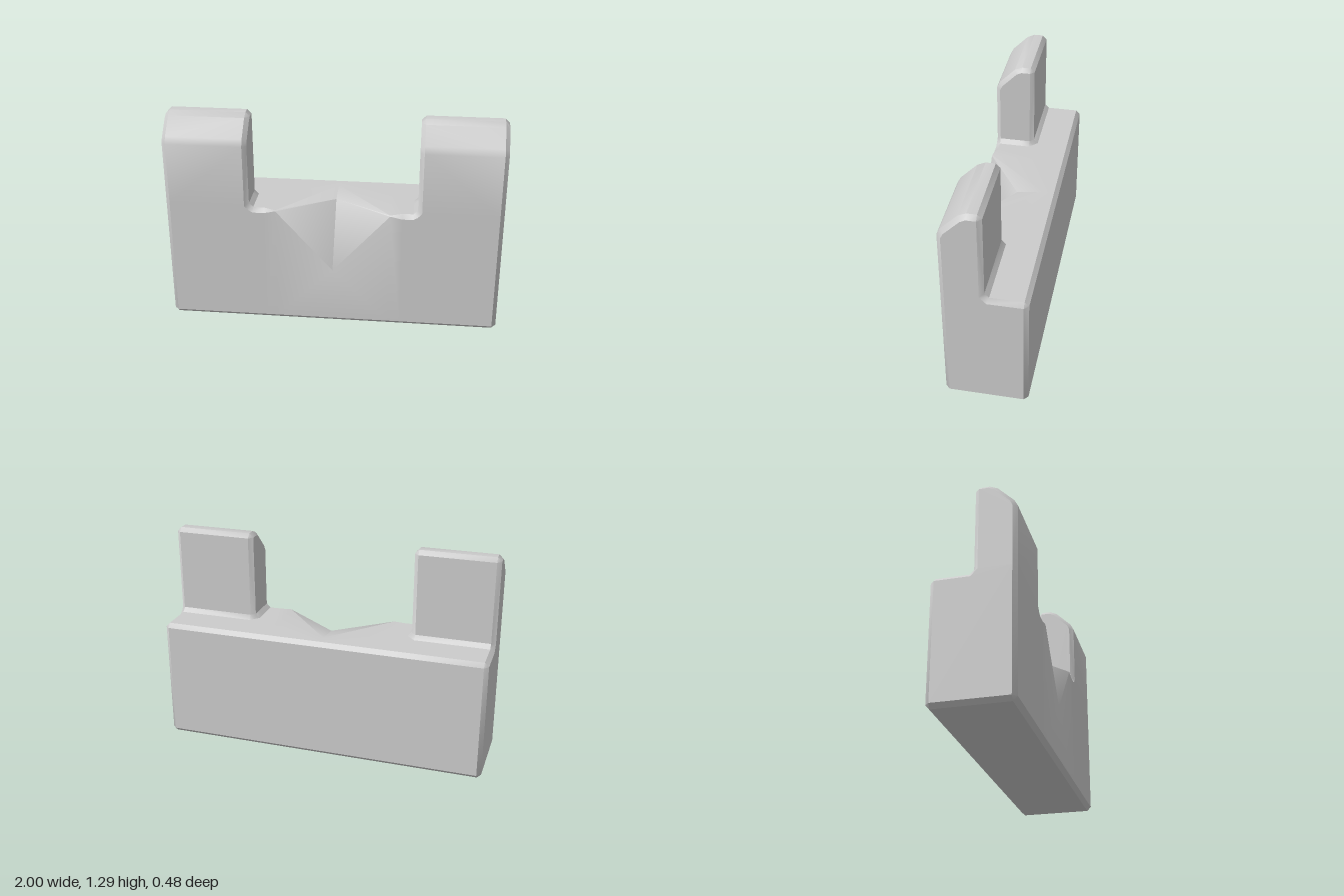
import * as THREE from 'three';
import { toCreasedNormals } from 'three/addons/utils/BufferGeometryUtils.js';

// Every cross-section is a ring of 16 [z, y] points: bottom back, up the back,
// over the step and post, then down the front.
const BACK = [[-0.215, 0], [-0.24, 0.025], [-0.24, 0.725], [-0.215, 0.75]];
const FRONT_FOOT = [[0.24, 0.025], [0.215, 0]];

// Outlines of a post: full size, and inset by the bevel
const POST = [[0, 0.775], [0, 1.27], [0.025, 1.295], [0.08, 1.295],
  [0.125, 1.275], [0.22, 1.18], [0.24, 1.14], [0.24, 0.77]];
const POST_INSET = [[0.025, 0.775], [0.025, 1.27], [0.025, 1.27], [0.08, 1.27],
  [0.11, 1.255], [0.2, 1.165], [0.215, 1.135], [0.215, 0.775]];

// The post collapsed to one point (low wall) or flattened to a height
const point = (z, y) => POST.map(() => [z, y]);
const flat = (y) => POST_INSET.map(([z]) => [z, y]);

const ring = (step, post, lip) => [...BACK, step, ...post, lip, ...FRONT_FOOT];

// Sections from the middle to the end; the other half is mirrored
const HALF = [
  [0, ring([-0.15, 0.75], point(0.01, 0.73), [0.24, 0.36])],       // deepest part of the notch
  [0.34, ring([-0.025, 0.75], point(0.235, 0.745), [0.24, 0.74])], // notch corner
  [0.41, ring([-0.025, 0.75], point(0.215, 0.75), [0.24, 0.725])],
  [0.475, ring([0.025, 0.75], flat(0.75), [0.24, 0.725])],         // foot of the post
  [0.5, ring([0, 0.75], flat(0.775), [0.24, 0.74])],
  [0.5, ring([0, 0.75], POST_INSET, [0.24, 0.74])],                // inner face of the post
  [0.525, ring([-0.025, 0.75], POST, [0.24, 0.765])],
  [0.975, ring([-0.025, 0.75], POST, [0.24, 0.765])],
  [1, [[-0.215, 0.025], [-0.215, 0.025], [-0.215, 0.725], [-0.215, 0.725], [-0.015, 0.725],
    [0.025, 0.765], ...POST_INSET.slice(1), [0.215, 0.765], [0.215, 0.025], [0.215, 0.025]]],
];

function loft(sections) {
  const positions = [];
  const rings = sections.map(([x, pts]) => pts.map(([z, y]) => new THREE.Vector3(x, y, z)));
  const tri = (a, b, c) => {
    if (new THREE.Triangle(a, b, c).getArea() < 1e-8) return;
    for (const p of [a, b, c]) positions.push(p.x, p.y, p.z);
  };

  // Skin between neighbouring sections, with mirrored diagonals
  for (let i = 0; i < rings.length - 1; i++) {
    const a = rings[i], b = rings[i + 1];
    for (let j = 0; j < a.length; j++) {
      const k = (j + 1) % a.length;
      if (a[0].x >= 0) {
        tri(a[j], a[k], b[k]);
        tri(a[j], b[k], b[j]);
      } else {
        tri(a[j], a[k], b[j]);
        tri(a[k], b[k], b[j]);
      }
    }
  }

  // Flat end faces
  const first = rings[0], last = rings[rings.length - 1];
  const outline = last.map((p) => new THREE.Vector2(-p.z, p.y));
  for (const [a, b, c] of THREE.ShapeUtils.triangulateShape(outline, [])) {
    tri(last[a], last[b], last[c]);
    tri(first[a], first[c], first[b]);
  }

  const geometry = new THREE.BufferGeometry();
  geometry.setAttribute('position', new THREE.Float32BufferAttribute(positions, 3));
  return toCreasedNormals(geometry, 0.765);
}

export function createModel() {
  const model = new THREE.Group();
  model.name = 'notchedWall';
  const mirrored = HALF.slice(1).reverse().map(([x, pts]) => [-x, pts]);
  const wall = new THREE.Mesh(
    loft([...mirrored, ...HALF]),
    new THREE.MeshStandardMaterial({ color: 0xcccccc }),
  );
  wall.name = 'wallWithPosts';
  model.add(wall);
  return model;
}
